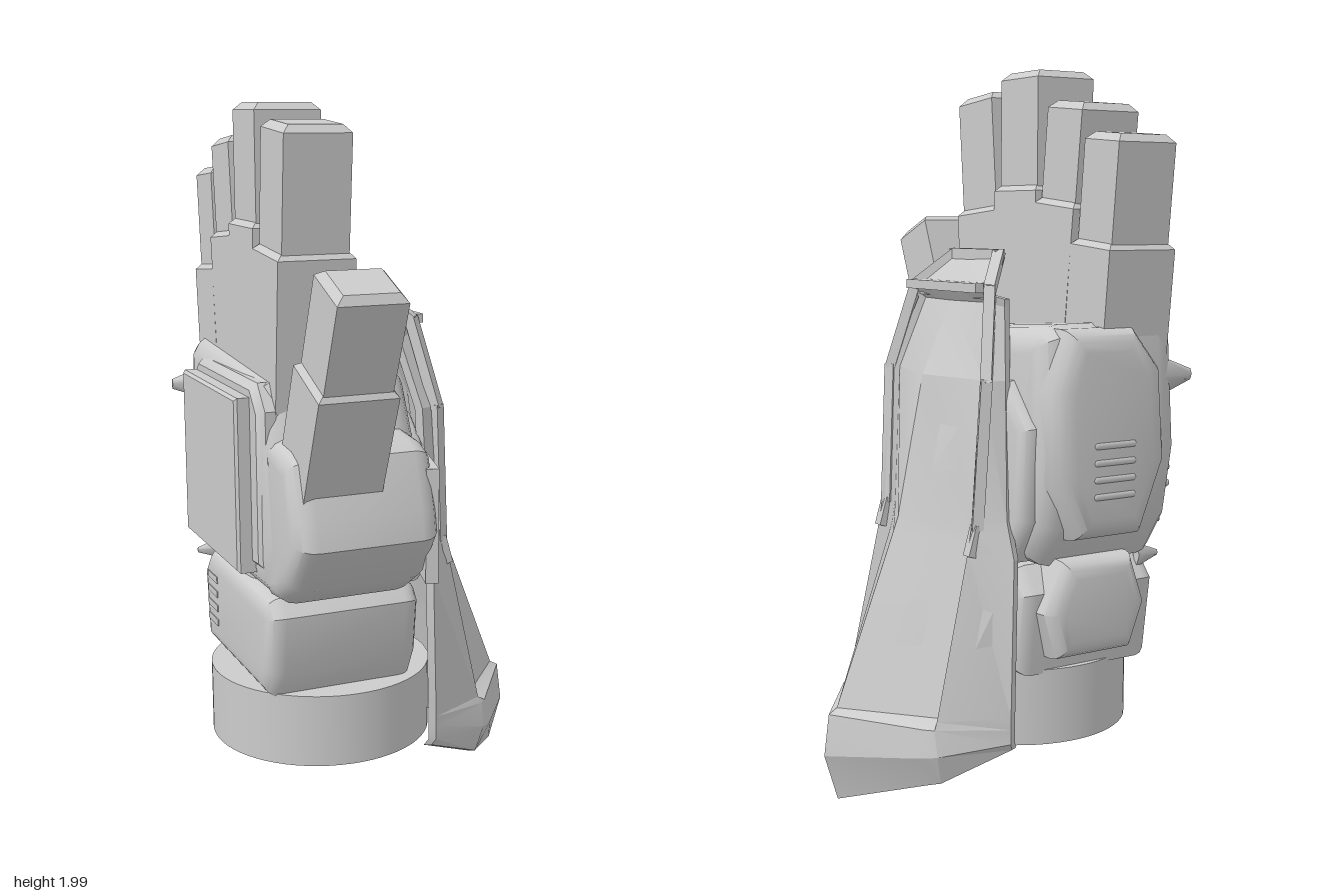
import * as THREE from 'three';
import { toCreasedNormals } from 'three/addons/utils/BufferGeometryUtils.js';

const mat = new THREE.MeshStandardMaterial({ color: 0xcccccc, side: THREE.DoubleSide });
const MID = -0.125; // z of the forearm axis

function add(parent, name, geo, x = 0, y = 0, z = 0) {
  const m = new THREE.Mesh(geo, mat);
  m.name = name;
  m.position.set(x, y, z);
  parent.add(m);
  return m;
}

// Side outline of [z, y] points, extruded from x0 to x1 with bevelled edges
function slab(outline, x0, x1, bevel, segments = 4, crease = 0.6) {
  const shape = new THREE.Shape(outline.map(([z, y]) => new THREE.Vector2(-z, y)));
  const g = new THREE.ExtrudeGeometry(shape, {
    depth: x1 - x0 - 2 * bevel, bevelThickness: bevel, bevelSize: bevel,
    bevelOffset: -bevel, bevelSegments: segments,
  });
  g.rotateY(Math.PI / 2).translate(x0 + bevel, 0, 0);
  return toCreasedNormals(g, crease);
}

// Front outline of [x, y] points, raised towards the back (-z)
function backPad(outline, z0, z1, bevel) {
  const shape = new THREE.Shape(outline.map(([x, y]) => new THREE.Vector2(-x, y)));
  const g = new THREE.ExtrudeGeometry(shape, {
    depth: z0 - z1 - bevel, bevelThickness: bevel, bevelSize: bevel,
    bevelOffset: -bevel, bevelSegments: 4,
  });
  g.rotateY(Math.PI).translate(0, 0, z0);
  return toCreasedNormals(g, 0.6);
}

// Mirrored shell: each row runs from the edge to the centre as [x, y, half width]
function shell(rows, thick) {
  const full = rows.map(r => [
    ...r.map(([x, y, w]) => [x, y, MID + w]),
    ...r.slice(0, -1).reverse().map(([x, y, w]) => [x, y, MID - w]),
  ]);
  const n = full[0].length, pos = [], idx = [];
  for (const r of full) {
    r.forEach(p => pos.push(...p));
    [...r].reverse().forEach(([x, y, z]) => pos.push(x - thick, y, MID + (z - MID) * 0.97));
  }
  const ring = 2 * n, last = (full.length - 1) * ring;
  const quad = (a, b, c, d) => idx.push(a, b, c, b, d, c);
  for (let i = 0; i < full.length - 1; i++)
    for (let j = 0; j < ring; j++) {
      const k = (j + 1) % ring, a = i * ring;
      quad(a + j, a + k, a + ring + j, a + ring + k);
    }
  for (let j = 0; j < n - 1; j++) { // end strips
    const inner = ring - 1 - j;
    quad(j, inner, j + 1, inner - 1);
    quad(last + j, last + j + 1, last + inner, last + inner - 1);
  }
  const g = new THREE.BufferGeometry();
  g.setAttribute('position', new THREE.Float32BufferAttribute(pos, 3));
  g.setIndex(idx);
  return toCreasedNormals(g, 0.3);
}

// Straight bars joined along a list of [x, y, half width] points
function rail(parent, name, points, side, size) {
  const group = new THREE.Group();
  group.name = name;
  const pts = points.map(([x, y, w]) => new THREE.Vector3(x, y, MID + side * w));
  for (let i = 0; i < pts.length - 1; i++) {
    const [a, b] = [pts[i], pts[i + 1]];
    const bar = add(group, 'railBar', new THREE.BoxGeometry(size, size, a.distanceTo(b) + size * 0.4));
    bar.position.lerpVectors(a, b, 0.5);
    bar.lookAt(b);
  }
  parent.add(group);
}

// Square finger block with chamfered ends, standing on y = 0
function block(w, d, h) {
  const c = 0.02, a = w / 2, b = d / 2;
  const s = new THREE.Shape([[-a, -b], [a, -b], [a, b], [-a, b]].map(p => new THREE.Vector2(...p)));
  const g = new THREE.ExtrudeGeometry(s, {
    depth: h - 2 * c, bevelThickness: c, bevelSize: c, bevelOffset: -c, bevelSegments: 1,
  });
  return g.translate(0, 0, c).rotateX(-Math.PI / 2);
}

// Two-part finger from base to tip, split at a given length
function finger(name, [z0, y0], [z1, y1], split, depth) {
  const f = new THREE.Group(), len = Math.hypot(z1 - z0, y1 - y0);
  f.name = name;
  f.position.set(-0.27, y0, z0);
  f.rotation.x = Math.atan2(z1 - z0, y1 - y0);
  add(f, 'lowerSegment', block(0.22, depth + 0.025, split));
  add(f, 'upperSegment', block(0.19, depth, len - split + 0.05), 0, split - 0.05);
  return f;
}

export function createModel() {
  const hand = new THREE.Group();
  hand.name = 'armouredHand';

  // Wrist
  add(hand, 'wristCuff', new THREE.CylinderGeometry(0.325, 0.325, 0.21, 64), -0.15, 0.275, MID);
  add(hand, 'wristCore', new THREE.CylinderGeometry(0.2, 0.2, 0.5, 32), -0.18, 0.6, MID);
  add(hand, 'wristGuard', slab([[0.11, 0.37], [0.15, 0.45], [0.17, 0.62], [0.13, 0.67],
    [-0.4, 0.67], [-0.46, 0.6], [-0.43, 0.37]], -0.41, 0.05, 0.05));
  add(hand, 'wristBackPad', backPad([[-0.29, 0.42], [-0.34, 0.55], [-0.29, 0.69],
    [-0.06, 0.69], [0.0, 0.55], [-0.04, 0.42]], -0.4, -0.515, 0.05));

  // Palm and thumb base
  add(hand, 'palm', slab([[0.2, 0.68], [0.24, 0.85], [0.2, 1.12], [0.12, 1.28], [-0.47, 1.32],
    [-0.52, 1.29], [-0.545, 0.98], [-0.51, 0.78], [-0.44, 0.67]], -0.42, 0.025, 0.075));
  add(hand, 'thumbBase', slab([[0.12, 0.67], [0.22, 0.68], [0.31, 0.74], [0.4, 0.87], [0.385, 0.95],
    [0.335, 1.1], [0.28, 1.125], [0.12, 1.14]], -0.41, 0.005, 0.06));
  add(hand, 'palmSidePad', slab([[0.17, 0.68], [0.17, 1.08], [0.08, 1.16], [-0.38, 1.17],
    [-0.48, 1.05], [-0.47, 0.8], [-0.4, 0.68]], -0.06, 0.06, 0.04));
  add(hand, 'thumbSideStrip', new THREE.BoxGeometry(0.035, 0.32, 0.21), 0.02, 0.89, 0.25).rotation.y = -0.27;

  // Back of the hand
  add(hand, 'backPad', backPad([[-0.28, 0.75], [-0.36, 0.95], [-0.34, 1.2], [-0.25, 1.31],
    [-0.03, 1.31], [0.02, 1.15], [0.01, 0.9], [-0.06, 0.75]], -0.44, -0.568, 0.06));
  add(hand, 'sideFrame', slab([[0.16, 0.76], [0.16, 1.2], [0.1, 1.27], [-0.38, 1.27],
    [-0.49, 1.17], [-0.46, 1.05], [-0.38, 0.72]], -0.43, -0.36, 0.02, 1));
  add(hand, 'sidePlate', slab([[0.09, 0.74], [0.09, 1.23], [-0.4, 1.23], [-0.4, 0.74]],
    -0.472, -0.41, 0.008, 1));

  // Vent slats
  for (let i = 0; i < 4; i++) {
    const y = 0.87 + i * 0.045;
    add(hand, 'backVent', new THREE.CapsuleGeometry(0.012, 0.12, 4, 8).rotateZ(Math.PI / 2), -0.17, y, -0.56);
    add(hand, 'sideVent', new THREE.CapsuleGeometry(0.012, 0.05, 4, 8).rotateX(Math.PI / 2), -0.41, y, -0.46);
    add(hand, 'wristVent', new THREE.BoxGeometry(0.02, 0.02, 0.09), -0.403, 0.46 + i * 0.045, -0.35);
  }

  // Pointed corner fins
  for (const [x, y, z, s] of [[-0.4, 1.17, -0.505, 1], [-0.395, 0.66, -0.43, 0.5]]) {
    const fin = add(hand, 'cornerFin', new THREE.CylinderGeometry(0.015 * s, 0.07 * s, 0.15 * s, 4), x, y, z);
    fin.rotation.z = Math.PI / 2;
    fin.scale.z = 0.4;
  }

  // Fingers and thumb
  hand.add(
    finger('indexFinger', [0.05, 1.1], [0.125, 1.95], 0.53, 0.175),
    finger('middleFinger', [-0.105, 1.1], [-0.105, 2.0], 0.59, 0.18),
    finger('ringFinger', [-0.24, 1.12], [-0.322, 1.905], 0.53, 0.155),
    finger('littleFinger', [-0.42, 1.12], [-0.485, 1.815], 0.42, 0.145),
    finger('thumb', [0.243, 0.96], [0.495, 1.575], 0.4, 0.165),
  );

  // Forearm shield with a recessed, ridged panel inside a raised rim
  add(hand, 'armShield', shell([
    [[0.07, 0.18, 0.32], [0.25, 0.1, 0.25], [0.27, 0.09, 0.22], [0.43, 0.01, 0]],
    [[0.08, 0.2, 0.33], [0.27, 0.18, 0.265], [0.31, 0.175, 0.23], [0.47, 0.14, 0]],
    [[0.08, 0.24, 0.33], [0.27, 0.25, 0.25], [0.29, 0.25, 0.23], [0.455, 0.255, 0]],
    [[0.08, 0.27, 0.33], [0.26, 0.27, 0.245], [0.235, 0.27, 0.225], [0.43, 0.27, 0]],
    [[0.07, 0.7, 0.325], [0.16, 0.72, 0.24], [0.13, 0.72, 0.215], [0.25, 0.74, 0]],
    [[0.07, 0.8, 0.29], [0.15, 0.78, 0.24], [0.12, 0.78, 0.215], [0.235, 0.78, 0]],
    [[0.06, 1.17, 0.265], [0.12, 1.17, 0.24], [0.1, 1.17, 0.22], [0.155, 1.17, 0]],
    [[0.02, 1.36, 0.2], [0.06, 1.37, 0.18], [0.045, 1.37, 0.165], [0.065, 1.37, 0]],
    [[0.02, 1.38, 0.2], [0.07, 1.395, 0.18], [0.07, 1.4, 0.165], [0.085, 1.4, 0]],
  ], 0.02));

  // Leaning collar plate and the rails that frame the shield
  add(hand, 'shieldCollar', shell([
    [[0.06, 1.38, 0.19], [0.06, 1.38, 0]],
    [[0.05, 1.42, 0.18], [0.04, 1.42, 0]],
    [[-0.02, 1.5, 0.12], [-0.02, 1.5, 0]],
  ], 0.02));
  for (const side of [-1, 1])
    rail(hand, 'shieldRail', [[-0.02, 1.495, 0], [-0.02, 1.495, 0.11], [0.06, 1.41, 0.19],
      [0.11, 1.17, 0.25], [0.13, 0.78, 0.24], [0.15, 0.71, 0.24]], side, 0.03);
  add(hand, 'collarLip', new THREE.BoxGeometry(0.05, 0.025, 0.36), 0.075, 1.41, MID);
  return hand;
}
